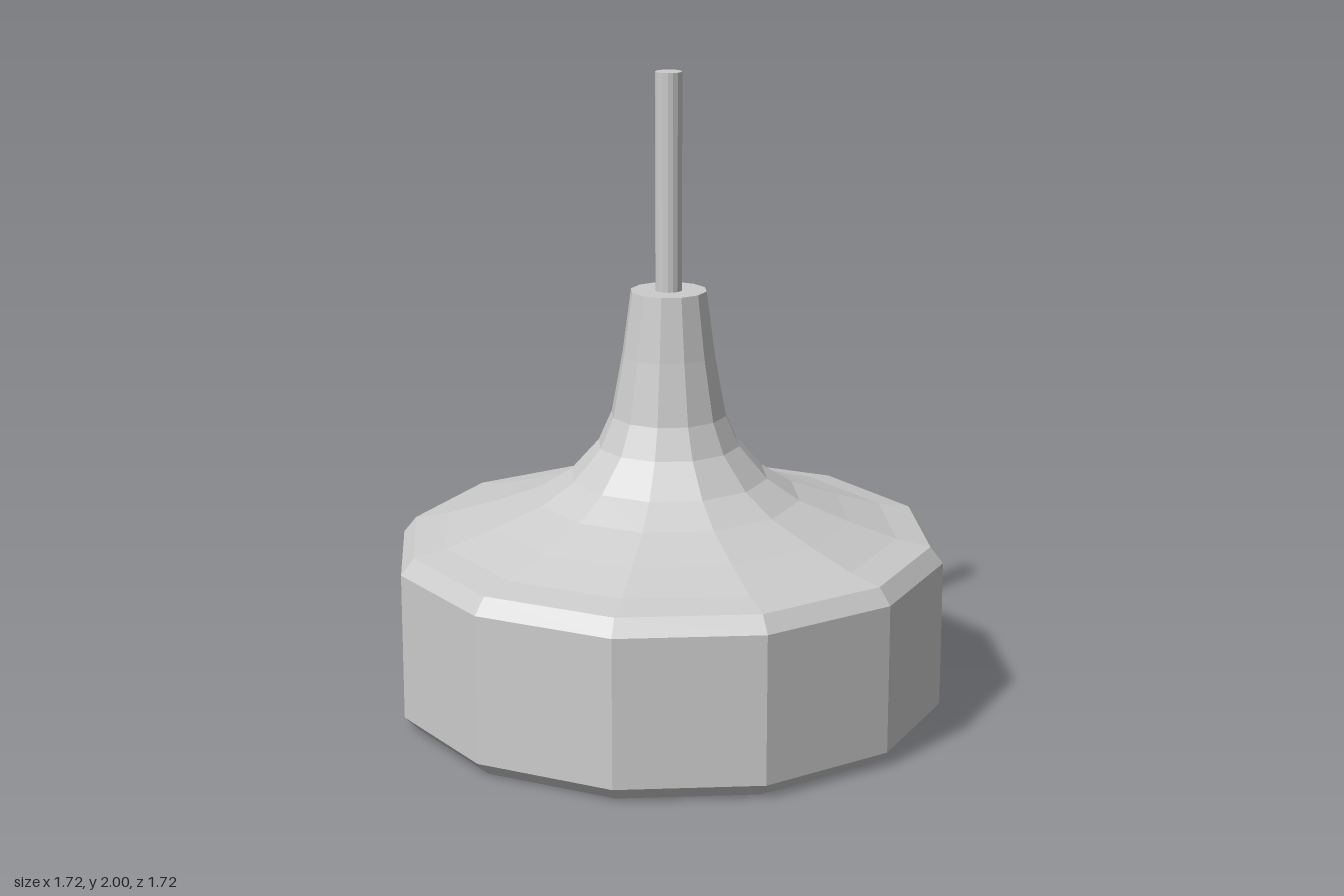
import * as THREE from 'three';

const SIDES = 12;

export function createModel() {
  const group = new THREE.Group();
  const material = new THREE.MeshStandardMaterial({ color: 0xcccccc, flatShading: true });

  const addLathe = (name, points, sides) => {
    const profile = points.map(([r, y]) => new THREE.Vector2(r, y));
    const mesh = new THREE.Mesh(new THREE.LatheGeometry(profile, sides), material);
    mesh.name = name;
    group.add(mesh);
  };

  // Twelve-sided drum with bevelled rims, closed underneath
  addLathe('base', [[0, 0], [0.815, 0], [0.86, 0.045], [0.86, 0.505], [0.82, 0.555]], SIDES);

  // Concave shoulder sweeping up to a flat-topped neck
  addLathe('flaredNeck', [
    [0.82, 0.555], [0.715, 0.575], [0.568, 0.622], [0.412, 0.68], [0.31, 0.745],
    [0.222, 0.845], [0.18, 0.94], [0.145, 1.13], [0.118, 1.33], [0, 1.33],
  ], SIDES);

  // Thin rod standing on the neck
  const rod = new THREE.Mesh(new THREE.CylinderGeometry(0.041, 0.041, 0.68, 16), material);
  rod.name = 'rod';
  rod.position.y = 1.66;
  group.add(rod);

  return group;
}
